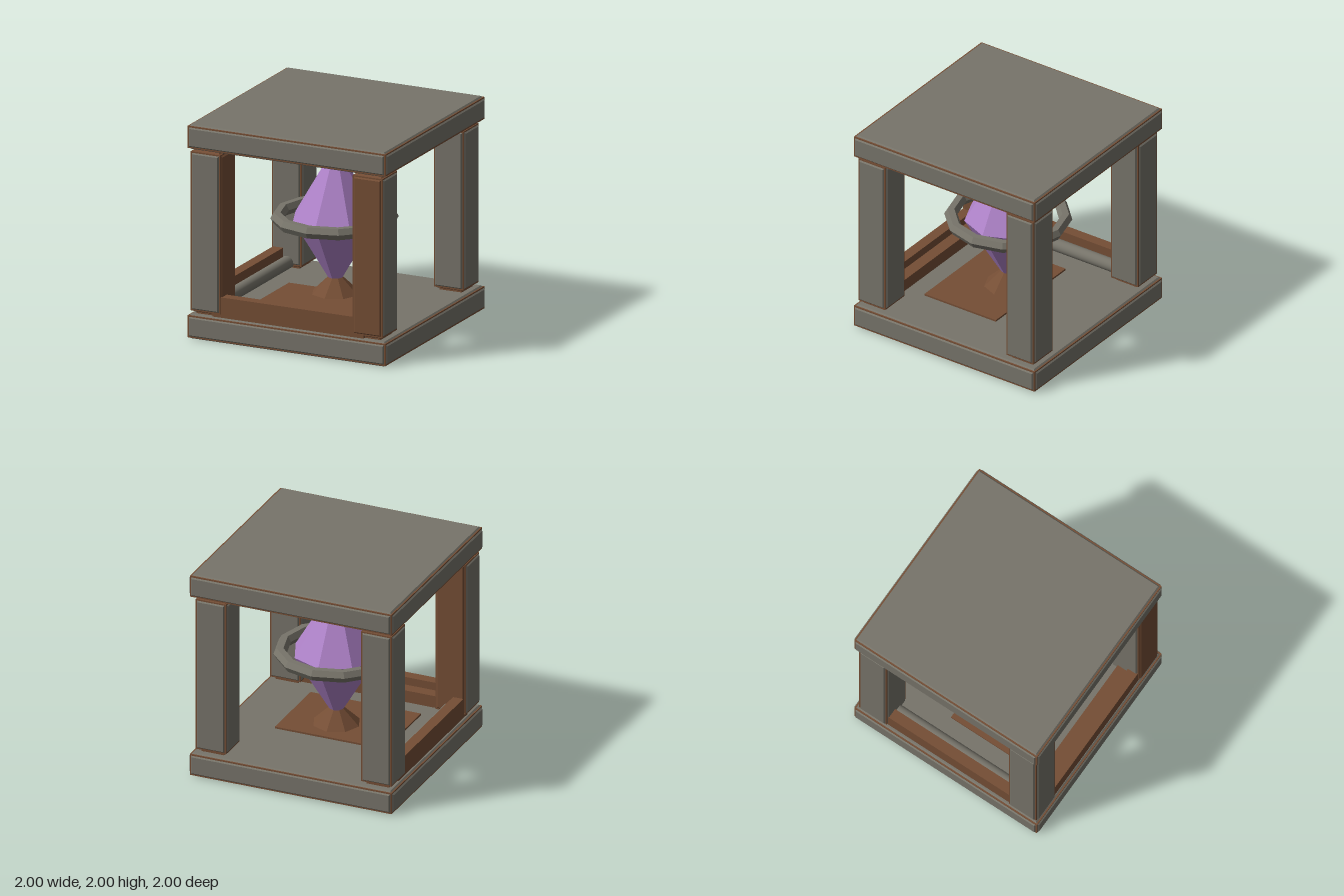
import * as THREE from 'three';

const mat = (name, color, extra = {}) => {
  const m = new THREE.MeshStandardMaterial({ color, ...extra });
  m.name = name;
  return m;
};

export function createModel() {
  const stone = mat('grey stone', 0x77746a);
  const wood = mat('brown wood', 0x754e35);
  const crystalMat = mat('purple crystal', 0xae82c8);
  const root = new THREE.Group();
  root.name = 'crystalShrine';

  const add = (parent, name, geo, material, x = 0, y = 0, z = 0) => {
    const m = new THREE.Mesh(geo, material);
    m.name = name;
    m.position.set(x, y, z);
    parent.add(m);
    return m;
  };
  const flat = (geo) => {
    const g = geo.toNonIndexed();
    g.computeVertexNormals();
    return g;
  };

  // Thin plate facing +z whose outer face is drawn in to form a bevel
  const bevelPlate = (w, h, t, inset) => {
    const g = new THREE.BoxGeometry(w, h, t);
    const p = g.attributes.position;
    for (let i = 0; i < p.count; i++) {
      if (p.getZ(i) > 0) {
        p.setX(i, p.getX(i) - Math.sign(p.getX(i)) * inset);
        p.setY(i, p.getY(i) - Math.sign(p.getY(i)) * inset);
      }
    }
    g.computeVertexNormals();
    return g;
  };

  // Wooden core clad with a bevelled plate on each face; `woodFaces` stay brown
  const GAP = 0.012, T = 0.016;
  const cladBlock = (name, sx, sy, sz, x, y, z, woodFaces = []) => {
    const g = new THREE.Group();
    g.name = name;
    g.position.set(x, y, z);
    root.add(g);
    add(g, 'core', new THREE.BoxGeometry(sx - 2 * GAP, sy - 2 * GAP, sz - 2 * GAP), wood);
    const faces = {
      front: [sx, sy, sz, 0, 0], back: [sx, sy, sz, 0, Math.PI],
      left: [sz, sy, sx, 0, Math.PI / 2], right: [sz, sy, sx, 0, -Math.PI / 2],
      top: [sx, sz, sy, -Math.PI / 2, 0], bottom: [sx, sz, sy, Math.PI / 2, 0],
    };
    for (const [face, [w, h, depth, rx, ry]] of Object.entries(faces)) {
      const geo = bevelPlate(w - 0.042, h - 0.042, T, 0.015);
      geo.translate(0, 0, depth / 2 - T / 2).rotateX(rx).rotateY(ry);
      add(g, face + 'Plate', geo, woodFaces.includes(face) ? wood : stone);
    }
  };

  // Base and roof slabs
  cladBlock('baseSlab', 2, 0.23, 2, 0, 0.115, 0);
  cladBlock('roofSlab', 2, 0.23, 2, 0, 1.885, 0);

  // Corner pillars with short wooden pegs into the slabs
  const pillars = [
    ['frontRightPillar', -0.82, 0.82, ['left', 'back']],
    ['frontLeftPillar', 0.8, 0.82, ['front']],
    ['backRightPillar', -0.82, -0.8, []],
    ['backLeftPillar', 0.8, -0.8, []],
  ];
  for (const [name, x, z, woodFaces] of pillars) {
    cladBlock(name, 0.32, 1.51, 0.32, x, 1.005, z, [...woodFaces, 'top', 'bottom']);
    add(root, name + 'Peg', new THREE.BoxGeometry(0.22, 1.57, 0.22), wood, x, 1, z);
  }

  // Low rails along the front and the right side
  add(root, 'frontRail', new THREE.BoxGeometry(1.51, 0.2, 0.1), wood, 0, 0.32, 0.91);
  add(root, 'frontRailLedge', new THREE.BoxGeometry(1.4, 0.12, 0.11), wood, 0, 0.285, 0.805);
  add(root, 'sideRail', new THREE.BoxGeometry(0.1, 0.2, 1.51), wood, -0.9, 0.32, 0);
  add(root, 'sideRoll', new THREE.CylinderGeometry(0.06, 0.06, 1.4, 24).rotateX(Math.PI / 2),
    stone, -0.81, 0.29, 0);

  // Floor mat and ceiling plate
  add(root, 'floorMat', new THREE.BoxGeometry(1.08, 0.02, 0.78), wood, -0.04, 0.237, 0.17);
  add(root, 'ceilingPlate', new THREE.BoxGeometry(0.98, 0.02, 0.73), stone, 0.12, 1.772, -0.075);

  // Double-pointed crystal held between two mounts
  const half = (rTop, rBottom, h) => flat(new THREE.CylinderGeometry(rTop, rBottom, h, 8));
  add(root, 'crystalTop', half(0.06, 0.4, 0.57), crystalMat, -0.005, 1.285, 0);
  add(root, 'crystalBottom', half(0.4, 0.06, 0.57), crystalMat, -0.005, 0.715, 0);
  add(root, 'upperMount', half(0.22, 0.065, 0.15), wood, -0.005, 1.635, 0.01);
  add(root, 'lowerMount', half(0.065, 0.22, 0.15), wood, -0.005, 0.37, 0);

  // Faceted ring around the crystal
  add(root, 'ring', flat(new THREE.TorusGeometry(0.515, 0.06, 6, 12).rotateX(Math.PI / 2)),
    stone, -0.012, 1, 0.005);

  return root;
}
